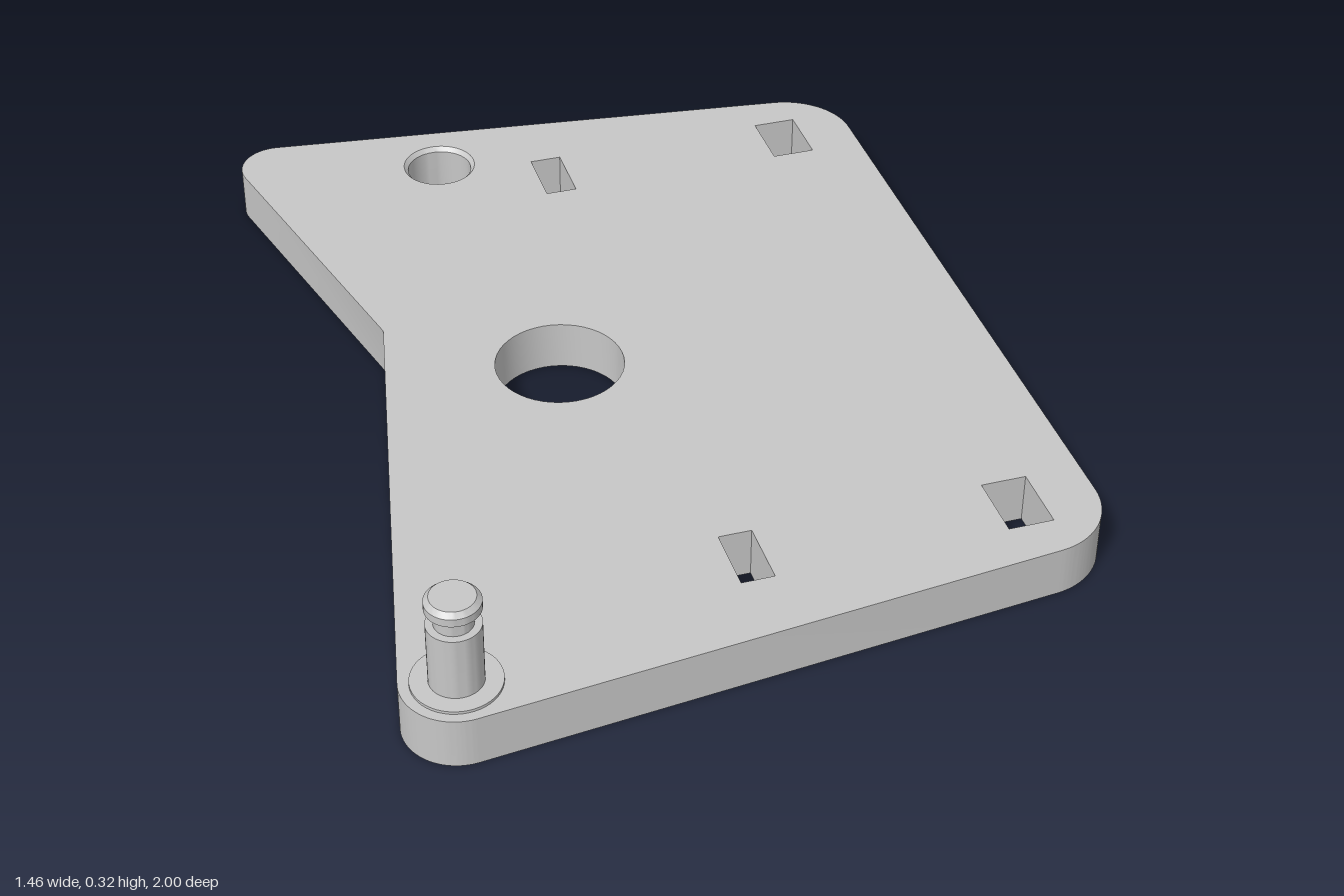
import * as THREE from 'three';
import { toCreasedNormals } from 'three/addons/utils/BufferGeometryUtils.js';

const THICK = 0.11;

// Outline around corner circles [x, z, r], joined by their outer tangents
function roundedOutline(corners) {
  const n = corners.length;
  const normals = corners.map(([x1, z1, r1], i) => {
    const [x2, z2, r2] = corners[(i + 1) % n];
    const dx = x2 - x1, dy = z1 - z2;
    return Math.atan2(dy, dx) - Math.acos((r1 - r2) / Math.hypot(dx, dy));
  });
  const shape = new THREE.Shape();
  corners.forEach(([x, z, r], i) => {
    const a = normals[(i + n - 1) % n], b = normals[i];
    if (r > 0) shape.absarc(x, -z, r, a, b, false);
    else shape.lineTo(x, -z);
  });
  shape.closePath();
  return shape;
}

function roundHole(x, z, r) {
  return new THREE.Path().absarc(x, -z, r, 0, Math.PI * 2, true);
}

function slot(x0, x1, z0, z1) {
  return new THREE.Path([[x0, z0], [x0, z1], [x1, z1], [x1, z0], [x0, z0]]
    .map(([x, z]) => new THREE.Vector2(x, -z)));
}

function turned(name, profile, material, x, z) {
  const points = profile.map(([r, y]) => new THREE.Vector2(r, y));
  const mesh = new THREE.Mesh(toCreasedNormals(new THREE.LatheGeometry(points, 48), 0.5), material);
  mesh.name = name;
  mesh.position.set(x, 0, z);
  return mesh;
}

export function createModel() {
  const group = new THREE.Group();
  group.name = 'mountingPlate';
  const grey = new THREE.MeshStandardMaterial({ color: 0xc7c7c7 });
  grey.name = 'lightGrey';

  // Plate with a notched left edge, two round holes and four slots
  const outline = roundedOutline([
    [-0.62, 0.89, 0.11],
    [0.572, 0.72, 0.155],
    [0.572, -0.7, 0.155],
    [-0.605, -0.913, 0.087],
    [-0.514, -0.21, 0],
  ]);
  outline.holes.push(roundHole(-0.182, 0.009, 0.137), roundHole(-0.246, -0.815, 0.082));
  for (const [x0, x1] of [[-0.037, 0.032], [0.515, 0.61]]) {
    for (const [z0, z1] of [[-0.767, -0.626], [0.644, 0.785]]) outline.holes.push(slot(x0, x1, z0, z1));
  }
  const plateGeometry = new THREE.ExtrudeGeometry(outline, { depth: THICK, bevelEnabled: false, curveSegments: 24 });
  plateGeometry.rotateX(-Math.PI / 2);
  const plate = new THREE.Mesh(toCreasedNormals(plateGeometry, 0.5), grey);
  plate.name = 'plate';
  group.add(plate);

  // Chamfered lining of the smaller hole
  group.add(turned('holeLining', [[0.082, THICK], [0.073, 0.1], [0.073, 0], [0.082, 0]], grey, -0.246, -0.815));

  // Pin with a flat collar, a groove and a chamfered head
  group.add(turned('pinCollar', [[0.088, THICK], [0.088, 0.116], [0, 0.116]], grey, -0.621, 0.892));
  group.add(turned('pin', [
    [0.053, 0.114], [0.053, 0.253], [0.038, 0.253], [0.038, 0.278], [0.045, 0.282],
    [0.054, 0.29], [0.054, 0.307], [0.044, 0.317], [0, 0.317],
  ], grey, -0.621, 0.892));

  return group;
}
